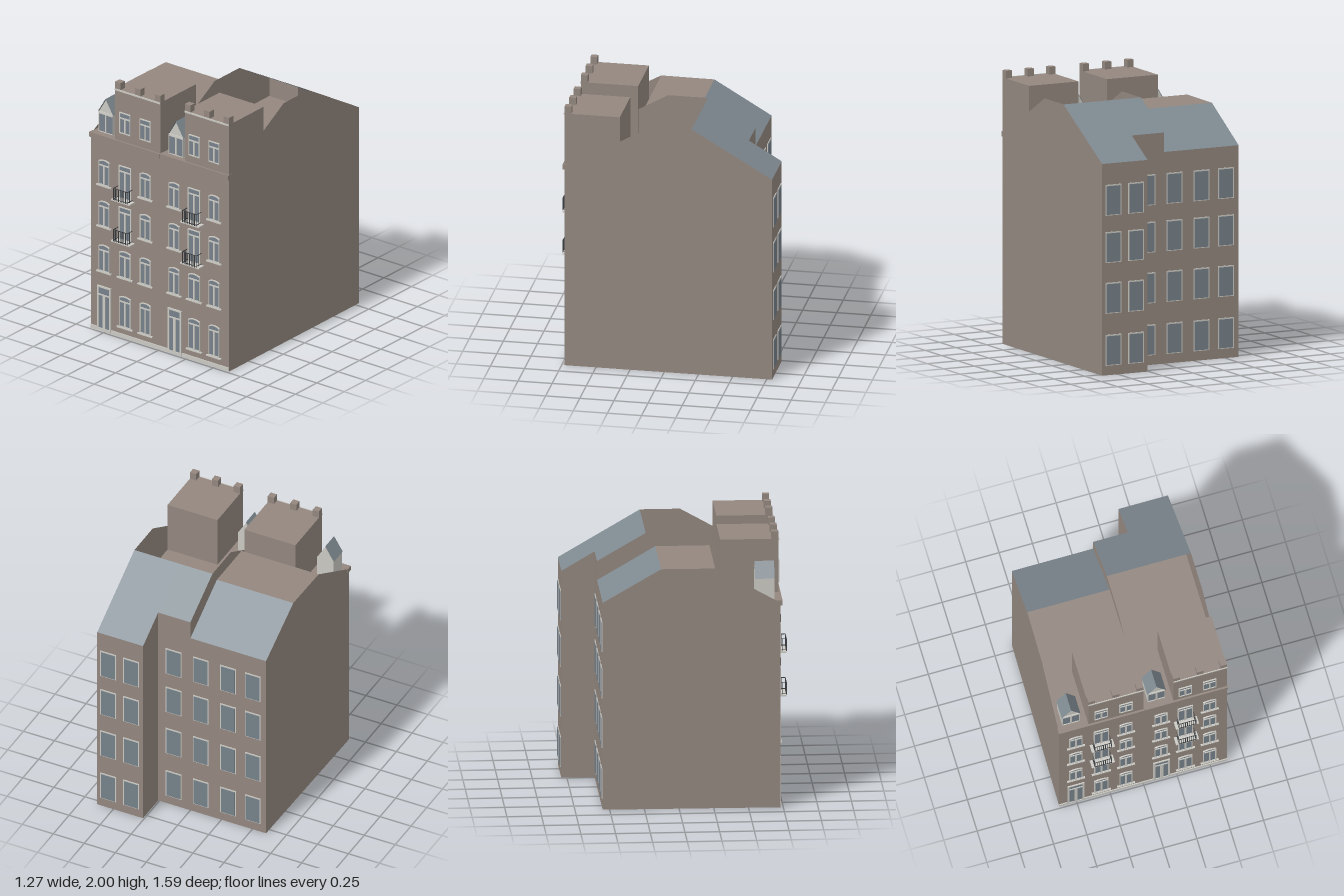
import * as THREE from 'three';

const mat = (name, color, side = THREE.FrontSide) => {
  const m = new THREE.MeshStandardMaterial({ color, side });
  m.name = name;
  return m;
};

export function createModel() {
  const root = new THREE.Group();
  root.name = 'townhouses';
  const wall = mat('brown render', 0x93877f, THREE.DoubleSide);
  const slate = mat('slate', 0x7f8a91, THREE.DoubleSide);
  const glass = mat('window glass', 0x76818a);
  const trim = mat('pale trim', 0xcbc9c3, THREE.DoubleSide);
  const iron = mat('dark iron', 0x3a3d40);

  const add = (name, geo, material, parent = root) => {
    const m = new THREE.Mesh(geo, material);
    m.name = name;
    parent.add(m);
    return m;
  };
  // Box given by its limits
  const box = (name, material, x0, x1, y0, y1, z0, z1, parent = root) => {
    const g = new THREE.BoxGeometry(x1 - x0, y1 - y0, z1 - z0);
    g.translate((x0 + x1) / 2, (y0 + y1) / 2, (z0 + z1) / 2);
    return add(name, g, material, parent);
  };
  // Flat convex panel through a few corners
  const panel = (name, material, pts, parent = root) => {
    const pos = [];
    for (let i = 1; i < pts.length - 1; i++) pos.push(...pts[0], ...pts[i], ...pts[i + 1]);
    const g = new THREE.BufferGeometry();
    g.setAttribute('position', new THREE.Float32BufferAttribute(pos, 3));
    g.computeVertexNormals();
    return add(name, g, material, parent);
  };

  const FRONT = 0.73, EAVE = 1.545;
  const leftX = z => -0.61 - 0.02 * (z + 0.55) / 1.28; // slightly skewed side wall

  // Main block with the rear wing
  const plan = new THREE.Shape([
    [-0.63, FRONT], [0.63, FRONT], [0.63, -0.79], [0.26, -0.79], [0.26, -0.55], [-0.61, -0.55],
  ].map(([x, z]) => new THREE.Vector2(x, -z)));
  const body = new THREE.ExtrudeGeometry(plan, { depth: EAVE, bevelEnabled: false });
  body.rotateX(-Math.PI / 2);
  add('mainWalls', body, wall);

  // Side, party and rear attic walls around the open roof space
  const sideWall = (name, xAt, profile) =>
    panel(name, wall, profile.map(([z, y]) => [xAt(z), y, z]));
  sideWall('sideWallRight', () => 0.63, [[-0.79, EAVE], [-0.2, 1.89], [0.09, 1.89], [0.7, EAVE]]);
  sideWall('partyWall', () => 0, [[-0.55, EAVE], [-0.55, 1.687], [-0.2, 1.89], [0.09, 1.89], [0.7, EAVE]]);
  sideWall('sideWallLeft', leftX, [[-0.55, EAVE], [-0.13, 1.79], [0.26, 1.79], [0.7, EAVE]]);
  sideWall('wingWall', () => 0.26, [[-0.79, EAVE], [-0.55, 1.687], [-0.55, EAVE]]);
  panel('rearAtticWall', wall, [[0.26, EAVE, -0.55], [0, EAVE, -0.55], [0, 1.687, -0.55], [0.26, 1.687, -0.55]]);

  // Slate rear slopes and the flat roof
  panel('rearRoofLeft', slate, [[0, EAVE, -0.55], [-0.61, EAVE, -0.55], [leftX(-0.13), 1.79, -0.13], [0, 1.79, -0.13]]);
  panel('rearRoofRight', slate, [[0.26, 1.687, -0.55], [0, 1.687, -0.55], [0, 1.89, -0.2], [0.26, 1.89, -0.2]]);
  panel('rearRoofWing', slate, [[0.63, EAVE, -0.79], [0.26, EAVE, -0.79], [0.26, 1.89, -0.2], [0.63, 1.89, -0.2]]);
  panel('flatRoof', wall, [[leftX(0.26), 1.79, 0.26], [0, 1.79, 0.26], [0, 1.79, -0.13], [leftX(-0.13), 1.79, -0.13]]);

  // Raised gable blocks with coping and posts
  for (const [x0, x1, zBack] of [[-0.41, 0.003, 0.31], [0.227, 0.63, 0.325]]) {
    box('gableBlock', wall, x0, x1, EAVE, 1.945, zBack, FRONT);
    box('coping', trim, x0, x1, 1.935, 1.947, FRONT, FRONT + 0.006);
    const step = (x1 - x0 - 0.05) / 2;
    for (let i = 0; i < 3; i++)
      box('parapetPost', wall, x0 + i * step, x0 + i * step + 0.05, 1.945, 2, 0.68, FRONT);
  }

  // Cornices and plinth
  box('corniceLeft', wall, -0.635, 0.003, 1.51, 1.547, 0.70, 0.745);
  box('corniceRight', wall, 0.007, 0.633, 1.512, 1.55, 0.70, 0.745);
  for (const [x0, x1] of [[-0.63, -0.57], [-0.44, 0.073], [0.2, 0.63]])
    box('plinth', trim, x0, x1, 0, 0.03, FRONT, FRONT + 0.007);

  // Outline with an optional shallow arched head
  const outline = (Type, x0, x1, y0, y1, rise) => {
    const s = new Type();
    s.moveTo(x0, y0);
    s.lineTo(x1, y0);
    s.lineTo(x1, y1 - rise);
    if (rise) s.quadraticCurveTo((x0 + x1) / 2, y1 + rise, x0, y1 - rise);
    else s.lineTo(x0, y1);
    s.closePath();
    return s;
  };
  // Framed window: pale frame with one top light and two casements
  const frontWindow = (name, cx, y0, y1, w, { rise = 0, sill = true, edge = 0.007, foot = edge, post = 0.012, bar = 0.045, z = FRONT } = {}) => {
    const g = new THREE.Group();
    g.name = name;
    g.position.set(cx, 0, z);
    const h = w / 2;
    const frame = outline(THREE.Shape, -h, h, y0, y1, rise);
    const barY = y1 - bar;
    frame.holes.push(
      outline(THREE.Path, -h + edge, h - edge, barY + 0.005, y1 - edge, rise),
      outline(THREE.Path, -h + edge, -post / 2, y0 + foot, barY - 0.005, 0),
      outline(THREE.Path, post / 2, h - edge, y0 + foot, barY - 0.005, 0));
    add('frame', new THREE.ExtrudeGeometry(frame, { depth: 0.009, bevelEnabled: false, curveSegments: 6 }), trim, g);
    const pane = new THREE.ShapeGeometry(outline(THREE.Shape, -h + 0.003, h - 0.003, y0 + 0.003, y1 - 0.003, rise), 6);
    pane.translate(0, 0, 0.003);
    add('glass', pane, glass, g);
    if (sill) box('sill', trim, -h - 0.018, h + 0.018, y0 - 0.01, y0, 0, 0.014, g);
    root.add(g);
  };

  // Balcony: slab, rails and bars
  const balcony = (cx, y) => {
    const g = new THREE.Group();
    g.name = 'balcony';
    g.position.set(cx, y, FRONT);
    box('slab', trim, -0.086, 0.086, -0.008, 0.002, 0, 0.06, g);
    const r = 0.002, w = 0.063, out = 0.062;
    for (const h of [0.01, 0.093]) {
      box('frontRail', iron, -w, w, h - r, h + r, out - 2 * r, out, g);
      for (const s of [-w, w]) box('sideRail', iron, s - r, s + r, h - r, h + r, 0, out, g);
    }
    for (let i = 0; i <= 8; i++) {
      const x = -w + i * w / 4;
      box('bar', iron, x - r, x + r, 0, 0.093, out - 2 * r, out, g);
    }
    for (const s of [-w, w]) box('sideBar', iron, s - r, s + r, 0, 0.093, 0.03, 0.03 + 2 * r, g);
    root.add(g);
  };

  // Dormer: pale body, glazed front, two slate slopes
  const dormer = cx => {
    const g = new THREE.Group();
    g.name = 'dormer';
    g.position.x = cx;
    const s = new THREE.Shape([[-0.065, EAVE], [0.065, EAVE], [0.065, 1.7], [0, 1.808], [-0.065, 1.7]]
      .map(p => new THREE.Vector2(...p)));
    const geo = new THREE.ExtrudeGeometry(s, { depth: 0.13, bevelEnabled: false });
    geo.translate(0, 0, 0.55);
    add('dormerBody', geo, trim, g);
    for (const k of [-1, 1])
      panel('dormerRoof', slate, [[0, 1.815, 0.55], [0, 1.815, 0.69], [k * 0.07, 1.7, 0.69], [k * 0.07, 1.7, 0.55]], g);
    root.add(g);
    frontWindow('dormerWindow', cx, EAVE, 1.702, 0.13, { sill: false, bar: 0.012, edge: 0.004, z: 0.68 });
  };

  // Street front, one house at a time
  const storeys = [[0.085, 0.33], [0.475, 0.685], [0.83, 1.03], [1.155, 1.355]];
  for (const [a, b, c, door, dorm] of [[-0.505, -0.315, -0.13, -0.505, -0.528], [0.133, 0.315, 0.497, 0.137, 0.112]]) {
    storeys.forEach(([y0, y1], i) => {
      if (i > 0) frontWindow('window', a, y0, y1, 0.098, { rise: 0.012 });
      frontWindow('window', c, y0, y1, 0.098, { rise: 0.012 });
      if (i < 2) frontWindow('window', b, y0, y1, 0.106, { rise: 0.012 });
      else {
        frontWindow('balconyDoor', b, y0 - 0.06, y1, 0.112, { sill: false });
        balcony(b, y0 - 0.06);
      }
    });
    for (const x of [b, c]) frontWindow('atticWindow', x, 1.61, 1.775, 0.1, { sill: false });
    frontWindow('frontDoor', door, 0.005, 0.357, 0.126, { sill: false, edge: 0.014, foot: 0.02, post: 0.022, bar: 0.07 });
    dormer(dorm);
  }

  // Plain rear windows
  const rearColumns = [[0.54, -0.79], [0.355, -0.79], [0.135, -0.55], [-0.085, -0.55], [-0.305, -0.55], [-0.505, -0.55]];
  for (const [x, z] of rearColumns)
    for (const y of [0.07, 0.45, 0.82, 1.165]) {
      box('rearFrame', trim, x - 0.064, x + 0.064, y, y + 0.225, z - 0.004, z);
      box('rearGlass', glass, x - 0.056, x + 0.056, y + 0.006, y + 0.215, z - 0.007, z - 0.003);
    }

  return root;
}
